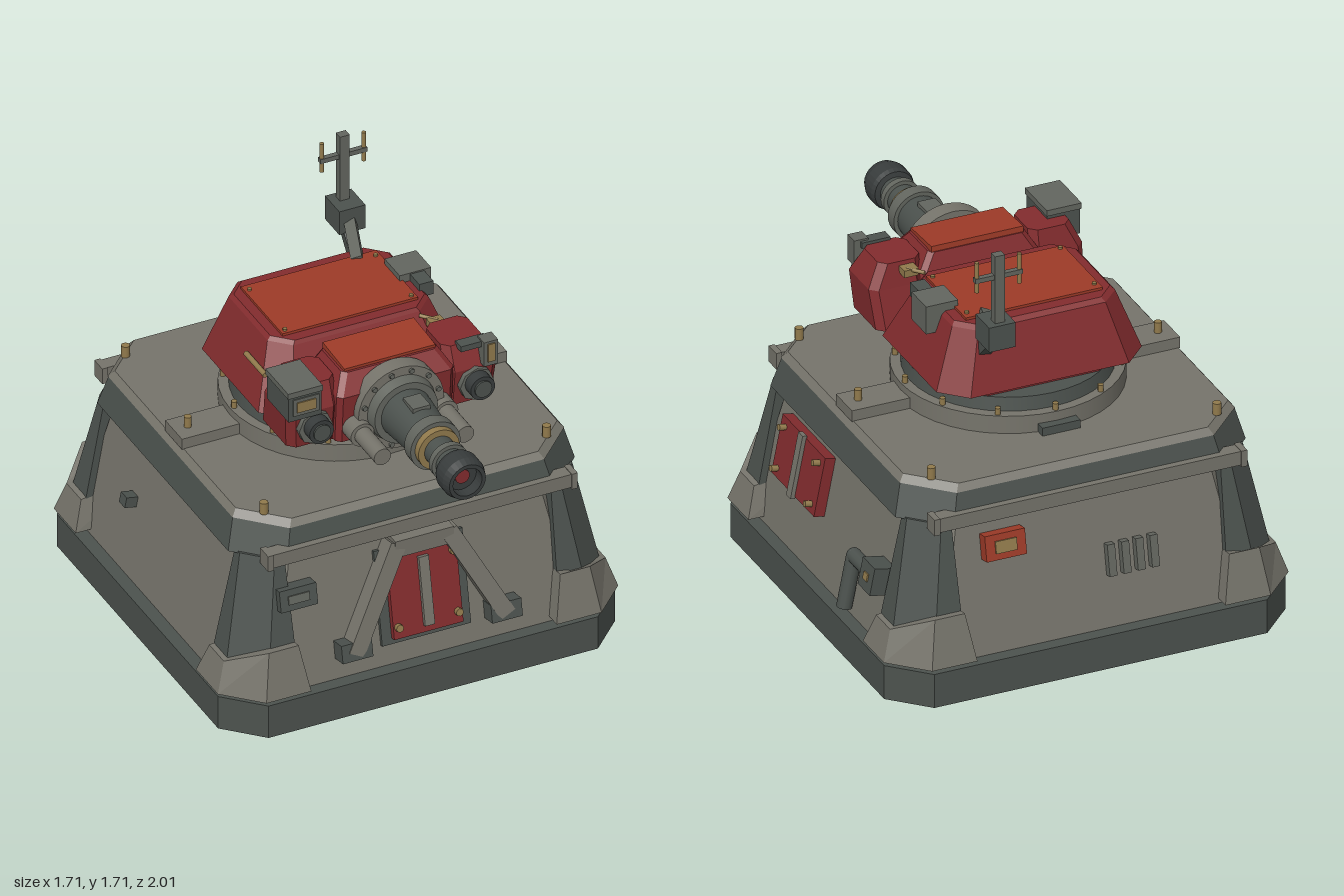
import * as THREE from 'three';

const mat = (name, color) => Object.assign(new THREE.MeshStandardMaterial({ color }), { name });
const M = {
  light: mat('light grey armour', 0x76746b), dark: mat('dark grey armour', 0x4c524e),
  mid: mat('mid grey metal', 0x63665f), gun: mat('gunmetal', 0x383c3c),
  red: mat('red paint', 0x832c2e), orange: mat('orange red paint', 0x9e3b28),
  brass: mat('brass', 0x917a4c),
};

function add(parent, name, geo, m, x = 0, y = 0, z = 0) {
  const mesh = new THREE.Mesh(geo, m);
  mesh.name = name;
  mesh.position.set(x, y, z);
  parent.add(mesh);
  return mesh;
}
const box = (p, name, m, w, h, d, x, y, z) => add(p, name, new THREE.BoxGeometry(w, h, d), m, x, y, z);
const cyl = (p, name, m, r0, r1, h, x, y, z, n = 12) =>
  add(p, name, new THREE.CylinderGeometry(r1, r0, h, n), m, x, y, z);
// cylinder along z from z0 to z1
function cylZ(p, name, m, x, y, z0, z1, r0, r1 = r0, n = 24) {
  const c = cyl(p, name, m, r0, r1, z1 - z0, x, y, (z0 + z1) / 2, n);
  c.rotation.x = Math.PI / 2;
  return c;
}
// beam of rectangular or round section between two points
function beam(p, name, m, a, b, w, d, round = false) {
  const A = new THREE.Vector3(...a), B = new THREE.Vector3(...b), L = A.distanceTo(B);
  const c = A.clone().add(B).multiplyScalar(0.5);
  const mesh = round ? cyl(p, name, m, w, w, L, c.x, c.y, c.z) : box(p, name, m, w, L, d, c.x, c.y, c.z);
  mesh.quaternion.setFromUnitVectors(new THREE.Vector3(0, 1, 0), B.sub(A).normalize());
  return mesh;
}
// faceted solid through stacked rings, counter-clockwise from above
function loft(rings) {
  const v = [], n = rings[0].length, tri = (...p) => p.forEach(q => v.push(...q));
  for (let k = 0; k + 1 < rings.length; k++) {
    for (let i = 0; i < n; i++) {
      const j = (i + 1) % n, a = rings[k], b = rings[k + 1];
      tri(a[i], a[j], b[j]);
      tri(a[i], b[j], b[i]);
    }
  }
  const lo = rings[0], hi = rings[rings.length - 1];
  for (let i = 1; i + 1 < n; i++) {
    tri(hi[0], hi[i], hi[i + 1]);
    tri(lo[0], lo[i + 1], lo[i]);
  }
  const g = new THREE.BufferGeometry();
  g.setAttribute('position', new THREE.Float32BufferAttribute(v, 3));
  g.computeVertexNormals();
  return g;
}
// chamfered rectangle ring
const oct = (y, x0, x1, z0, z1, c) => [
  [x1, y, z1 - c], [x1, y, z0 + c], [x1 - c, y, z0], [x0 + c, y, z0],
  [x0, y, z0 + c], [x0, y, z1 - c], [x0 + c, y, z1], [x1 - c, y, z1]];
const sq = (y, h, c) => oct(y, -h, h, -h, h, c);
// ring wrapping one chamfered corner; the z face and x face may differ in height
function cornerRing(sx, sz, yz, yx, h, inner, c) {
  const r = [[inner, yz, h], [h - c, yz, h], [h, yx, h - c], [h, yx, inner], [inner, (yz + yx) / 2, inner]]
    .map(([x, y, z]) => [x * sx, y, z * sz]);
  return sx * sz < 0 ? r.reverse() : r;
}

const TILT = 0.194;
// group lying on a sloping wall: local z points out of the wall
function onWall(base, name, angle, u, y) {
  const g = new THREE.Group(), h = 0.795 - 0.11 * (y - 0.15) / 0.56;
  g.name = name;
  g.rotation.set(-TILT, angle, 0, 'YXZ');
  g.position.set(h * Math.sin(angle) + u * Math.cos(angle), y, h * Math.cos(angle) - u * Math.sin(angle));
  base.add(g);
  return g;
}
function corners(w, h, fn) {
  for (const sx of [-1, 1]) for (const sy of [-1, 1]) fn(sx * w, sy * h, sx, sy);
}

function buildBase(base) {
  add(base, 'plinth', loft([sq(0, 0.85, 0.145), sq(0.147, 0.85, 0.145)]), M.dark);
  add(base, 'hull', loft([sq(0.147, 0.795, 0.15), sq(0.72, 0.683, 0.15)]), M.light);
  add(base, 'deckSkirt', loft([sq(0.708, 0.742, 0.17), sq(0.838, 0.708, 0.165)]), M.dark);
  add(base, 'deck', loft([sq(0.838, 0.71, 0.165), sq(0.866, 0.688, 0.16)]), M.light);
  corners(1, 1, (sx, sz) => {
    add(base, 'cornerPillar', loft([cornerRing(sx, sz, 0.15, 0.15, 0.825, 0.555, 0.13),
      cornerRing(sx, sz, 0.715, 0.715, 0.712, 0.57, 0.1)]), M.dark);
    add(base, 'cornerFoot', loft([cornerRing(sx, sz, 0.167, 0.167, 0.857, 0.525, 0.14),
      cornerRing(sx, sz, 0.365, 0.29, 0.817, 0.56, 0.13)]), M.light);
    cyl(base, 'deckPost', M.brass, 0.017, 0.017, 0.05, sx * 0.605, 0.89, sz * 0.605);
  });
  // front and back ledges
  for (const s of [-1, 1]) {
    box(base, 'ledge', M.light, 1.29, 0.06, 0.06, 0, 0.737, s * 0.725);
    for (const e of [-1, 1]) box(base, 'ledgeEnd', M.light, 0.025, 0.07, 0.07, e * 0.65, 0.735, s * 0.725);
    box(base, 'deckBlock', M.light, 0.3, 0.048, 0.147, s * 0.545, 0.888, 0);
    cyl(base, 'blockPin', M.brass, 0.015, 0.015, 0.05, s * 0.635, 0.933, 0);
  }

  // front door with A-frame
  const door = onWall(base, 'frontDoor', 0, 0, 0.435);
  box(door, 'doorFrame', M.dark, 0.38, 0.4, 0.03, 0, -0.005, 0);
  const leaf = new THREE.Shape([[-0.148, -0.18], [0.148, -0.18], [0.148, 0.12], [0.08, 0.19], [-0.08, 0.19], [-0.148, 0.12]]
    .map(p => new THREE.Vector2(...p)));
  add(door, 'doorLeaf', new THREE.ExtrudeGeometry(leaf, { depth: 0.03, bevelEnabled: false }), M.red, 0, 0, 0.01);
  box(door, 'doorBar', M.light, 0.042, 0.29, 0.02, 0, -0.005, 0.047);
  corners(0.128, 0.13, (x, y) => cylZ(door, 'doorBolt', M.brass, x, y, 0.035, 0.06, 0.016, 0.016, 8));
  box(base, 'lintel', M.light, 0.25, 0.075, 0.08, 0, 0.652, 0.735);
  for (const s of [-1, 1]) {
    beam(base, 'brace', M.light, [s * 0.325, 0.26, 0.808], [s * 0.11, 0.665, 0.735], 0.07, 0.075);
    const shoe = onWall(base, 'braceShoe', 0, s * 0.32, 0.268);
    box(shoe, 'shoe', M.dark, 0.13, 0.075, 0.09, 0, 0, 0.025);
  }
  const slot = onWall(base, 'frontSlot', 0, -0.54, 0.543);
  box(slot, 'slotBox', M.dark, 0.158, 0.09, 0.07, 0, 0, 0.025);
  box(slot, 'slotPlate', M.mid, 0.09, 0.035, 0.008, 0, 0, 0.062);

  // red service panel, pipe and junction box on the +x wall
  const panel = onWall(base, 'servicePanel', Math.PI / 2, -0.26, 0.512);
  box(panel, 'panelPlate', M.red, 0.39, 0.25, 0.06, 0, 0, 0.015);
  box(panel, 'panelBar', M.light, 0.04, 0.27, 0.02, 0, 0, 0.052);
  corners(0.155, 0.088, (x, y) => cylZ(panel, 'panelBolt', M.brass, x, y, 0.04, 0.075, 0.013, 0.013, 8));
  const pipe = onWall(base, 'sidePipe', Math.PI / 2, 0.28, 0.395);
  beam(pipe, 'pipeDown', M.dark, [0, -0.22, 0.035], [0, 0, 0.035], 0.031, 0, true);
  beam(pipe, 'pipeAcross', M.dark, [0, 0, 0.035], [0.2, 0, 0.035], 0.031, 0, true);
  add(pipe, 'pipeElbow', new THREE.SphereGeometry(0.031, 12, 8), M.dark, 0, 0, 0.035);
  box(pipe, 'junctionBox', M.dark, 0.11, 0.115, 0.1, 0.22, 0.02, 0.04);
  box(pipe, 'junctionPlate', M.brass, 0.035, 0.03, 0.008, 0.22, 0.02, 0.092);

  // back vents, back lamp box and small -x box
  const vents = onWall(base, 'rearVents', Math.PI, 0.175, 0.42);
  for (let i = 0; i < 4; i++) box(vents, 'ventSlat', M.mid, 0.032, 0.13, 0.04, -0.09 + i * 0.06, 0, 0.012);
  const lamp = onWall(base, 'rearBox', Math.PI, -0.36, 0.58);
  box(lamp, 'rearBoxBody', M.orange, 0.17, 0.105, 0.06, 0, 0, 0.02);
  box(lamp, 'rearBoxPlate', M.brass, 0.09, 0.05, 0.008, 0, 0, 0.053);
  const stud = onWall(base, 'sideStud', -Math.PI / 2, -0.26, 0.45);
  box(stud, 'studBox', M.dark, 0.05, 0.045, 0.06, 0, 0, 0.02);

  // turret ring
  cyl(base, 'lowerRing', M.light, 0.455, 0.455, 0.08, 0, 0.902, 0, 40);
  cyl(base, 'upperRing', M.dark, 0.415, 0.405, 0.06, 0, 0.968, 0, 40);
  for (let i = 0; i < 12; i++) {
    const a = i * Math.PI / 6;
    cyl(base, 'ringBolt', M.brass, 0.012, 0.012, 0.03, 0.436 * Math.sin(a), 0.955, 0.436 * Math.cos(a), 8);
  }
  box(base, 'ringStop', M.dark, 0.16, 0.035, 0.05, 0, 0.885, -0.465);
}

function buildTurret(t) {
  add(t, 'turretNeck', loft([oct(0.99, -0.335, 0.335, -0.475, 0.28, 0.1), oct(1.045, -0.335, 0.335, -0.475, 0.3, 0.1)]), M.red);
  add(t, 'turretShell', loft([oct(1.04, -0.435, 0.435, -0.535, 0.16, 0.1), oct(1.285, -0.345, 0.345, -0.46, 0.03, 0.075),
    oct(1.3, -0.33, 0.33, -0.44, 0.02, 0.07)]), M.red);
  box(t, 'roofPanel', M.orange, 0.58, 0.016, 0.365, 0, 1.303, -0.208);
  corners(0.27, 0.155, (x, z) => cyl(t, 'roofBolt', M.brass, 0.009, 0.009, 0.01, x, 1.314, z - 0.2, 8));
  // gun housing and cheeks
  add(t, 'gunHousing', loft([oct(1.03, -0.25, 0.25, 0.05, 0.37, 0.02), oct(1.24, -0.25, 0.25, 0.1, 0.385, 0.02),
    oct(1.315, -0.205, 0.205, 0.125, 0.33, 0.02)]), M.red);
  const cap = box(t, 'housingRoof', M.orange, 0.39, 0.026, 0.19, 0, 1.32, 0.225);
  cap.rotation.x = 0.06;
  for (const s of [-1, 1]) {
    const span = (a, b) => s > 0 ? [a, b] : [-b, -a];
    add(t, 'cheek', loft([oct(1.04, ...span(0.23, 0.44), 0.08, 0.34, 0.03), oct(1.2, ...span(0.23, 0.452), 0.12, 0.36, 0.03),
      oct(1.3, ...span(0.23, 0.405), 0.14, 0.32, 0.03)]), M.red);
    cylZ(t, 'launcherRing', M.mid, s * 0.345, 1.135, 0.34, 0.38, 0.072, 0.072, 8);
    cylZ(t, 'launcherTube', M.gun, s * 0.345, 1.145, 0.37, 0.43, 0.052);
    cylZ(t, 'launcherCap', M.dark, s * 0.345, 1.145, 0.43, 0.438, 0.036);
    cylZ(t, 'recoilCylinder', M.light, s * 0.178, 1.095, 0.36, 0.62, 0.036);
    cylZ(t, 'recoilCollar', M.light, s * 0.18, 1.095, 0.37, 0.45, 0.05);
  }
  // left sight box
  box(t, 'sightBox', M.dark, 0.14, 0.11, 0.19, -0.4, 1.26, 0.3);
  box(t, 'sightLid', M.mid, 0.148, 0.025, 0.2, -0.4, 1.327, 0.3);
  box(t, 'sightFrame', M.mid, 0.11, 0.075, 0.008, -0.396, 1.266, 0.396);
  box(t, 'sightWindow', M.brass, 0.08, 0.045, 0.008, -0.396, 1.267, 0.401);
  // right sensor
  box(t, 'sensor', M.mid, 0.06, 0.11, 0.06, 0.402, 1.265, 0.355);
  box(t, 'sensorWindow', M.brass, 0.03, 0.08, 0.008, 0.402, 1.27, 0.387);
  box(t, 'sensorArm', M.dark, 0.12, 0.025, 0.05, 0.345, 1.3, 0.335);
  // roof periscope and small fittings
  box(t, 'periscope', M.mid, 0.135, 0.12, 0.132, 0.343, 1.275, -0.222);
  box(t, 'periscopeHood', M.dark, 0.06, 0.06, 0.08, 0.35, 1.3, -0.115);
  beam(t, 'grabRail', M.brass, [-0.395, 1.19, -0.13], [-0.395, 1.19, 0.04], 0.011, 0, true);
  box(t, 'roofClamp', M.brass, 0.06, 0.03, 0.05, 0.3, 1.27, 0.11);
  beam(t, 'roofClampRod', M.brass, [0.26, 1.28, 0.05], [0.31, 1.28, 0.11], 0.008, 0, true);
}

function buildGun(g) {
  const y = 1.154;
  // name, colour, z from, z to, radius from, radius to
  [['mantletDisc', M.light, 0.35, 0.42, 0.183, 0.183], ['mantletCollar', M.mid, 0.42, 0.465, 0.145, 0.135],
    ['sleeve', M.dark, 0.46, 0.67, 0.108, 0.09], ['sleeveRing', M.mid, 0.665, 0.72, 0.107, 0.107],
    ['brassRing', M.brass, 0.72, 0.75, 0.088, 0.088], ['barrel', M.dark, 0.74, 0.9, 0.062, 0.062],
    ['barrelRing', M.mid, 0.82, 0.848, 0.078, 0.078], ['boreFloor', M.gun, 0.9, 0.95, 0.064, 0.064],
    ['boreCore', M.red, 0.94, 0.957, 0.03, 0.03]]
    .forEach(([name, m, z0, z1, r0, r1]) => cylZ(g, name, m, 0, y, z0, z1, r0, r1, 32));
  const profile = [[0.06, 0.885], [0.083, 0.89], [0.09, 0.91], [0.09, 0.965], [0.078, 1], [0.062, 1], [0.062, 0.945]];
  const lathe = new THREE.LatheGeometry(profile.map(p => new THREE.Vector2(...p)), 28).toNonIndexed();
  lathe.computeVertexNormals();
  add(g, 'muzzle', lathe, M.gun, 0, y, 0).rotation.x = Math.PI / 2;
  box(g, 'sleevePlate', M.mid, 0.075, 0.02, 0.09, 0, 1.252, 0.555);
  for (let i = 0; i < 12; i++) {
    const a = (i + 0.5) * Math.PI / 6;
    cylZ(g, 'discBolt', M.mid, 0.163 * Math.cos(a), y + 0.163 * Math.sin(a), 0.415, 0.43, 0.011, 0.011, 6);
  }
}

function buildAntenna(a) {
  box(a, 'antennaBox', M.dark, 0.112, 0.107, 0.125, 0.265, 1.362, -0.61);
  beam(a, 'antennaArm', M.mid, [0.265, 1.35, -0.57], [0.2, 1.3, -0.37], 0.045, 0.04);
  beam(a, 'antennaStrut', M.dark, [0.26, 1.33, -0.6], [0.25, 1.2, -0.46], 0.05, 0.05);
  box(a, 'mast', M.mid, 0.042, 0.3, 0.036, 0.265, 1.56, -0.632);
  box(a, 'crossbar', M.mid, 0.2, 0.02, 0.022, 0.265, 1.615, -0.632);
  for (const s of [-1, 1]) cyl(a, 'antennaRod', M.brass, 0.009, 0.009, 0.13, 0.265 + s * 0.09, 1.627, -0.632);
}

export function createModel() {
  const root = new THREE.Group();
  root.name = 'gunTurret';
  const part = (name, build, z = 0) => {
    const g = new THREE.Group();
    g.name = name;
    g.position.z = z;
    build(g);
    root.add(g);
  };
  part('base', buildBase, -0.15);
  part('turret', buildTurret);
  part('gun', buildGun);
  part('antenna', buildAntenna);
  return root;
}
